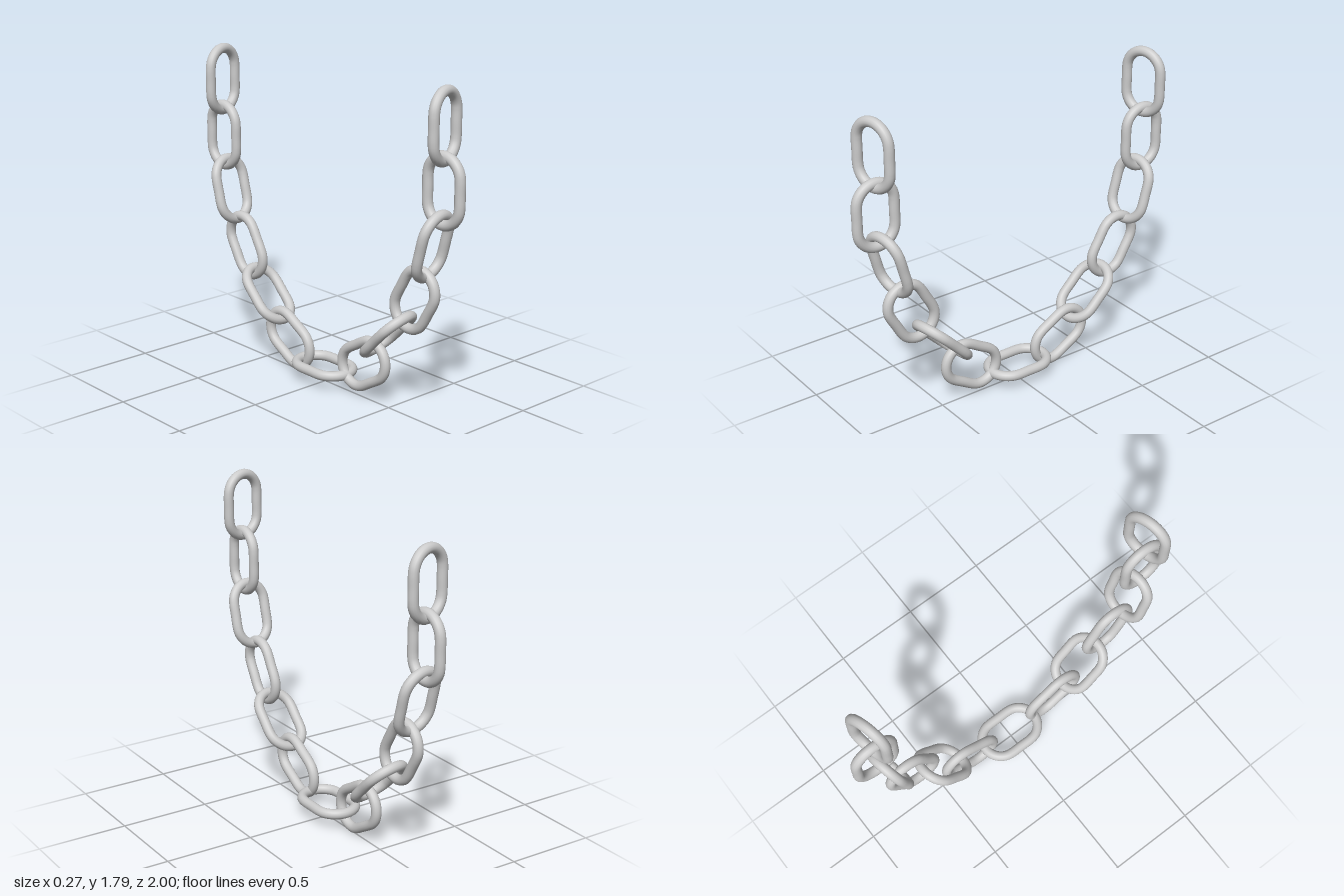
import * as THREE from 'three';

const WIRE = 0.028, BEND = 0.109, HALF_STRAIGHT = 0.066;

// One oval link lying in the XY plane, long axis along Y
function linkGeometry() {
  const points = [];
  for (const end of [1, -1]) {
    for (let i = 0; i <= 10; i++) {
      const a = (i / 10) * Math.PI;
      points.push(new THREE.Vector3(end * BEND * Math.cos(a), end * (HALF_STRAIGHT + BEND * Math.sin(a)), 0));
    }
    points.push(new THREE.Vector3(-end * BEND, 0, 0)); // middle of the straight side
  }
  const path = new THREE.CatmullRomCurve3(points, true);
  return new THREE.TubeGeometry(path, 72, WIRE, 14, true);
}

export function createModel() {
  const group = new THREE.Group();
  group.name = 'hangingChain';
  const material = new THREE.MeshStandardMaterial({ color: 0xcccccc });
  const geometry = linkGeometry();

  // Each link: z, y, lean from vertical and twist about its long axis (degrees)
  const addLink = (name, z, y, lean, twist) => {
    const link = new THREE.Mesh(geometry, material);
    link.name = name;
    link.position.set(0, y, z);
    link.rotation.set(THREE.MathUtils.degToRad(lean), THREE.MathUtils.degToRad(twist), 0);
    group.add(link);
  };

  addLink('bottomLink', -0.008, 0.095, 90, 0);

  // Front strand, from the bottom up; every other link is turned on edge
  [
    [0.305, 0.2, 60, 90],
    [0.49, 0.418, 45, 7],
    [0.678, 0.659, 30, 90],
    [0.8, 0.97, 15, 9],
    [0.865, 1.27, 0, 90],
    [0.865, 1.594, 0, 14],
  ].forEach((link, i) => addLink(`frontLink${i + 1}`, ...link));

  // Back strand, hanging slightly lower
  [
    [-0.297, 0.177, -60, 90],
    [-0.482, 0.394, -45, 7],
    [-0.672, 0.635, -30, 90],
    [-0.798, 0.945, -15, 9],
    [-0.862, 1.248, 0, 90],
    [-0.862, 1.57, 0, 14],
  ].forEach((link, i) => addLink(`backLink${i + 1}`, ...link));

  return group;
}
